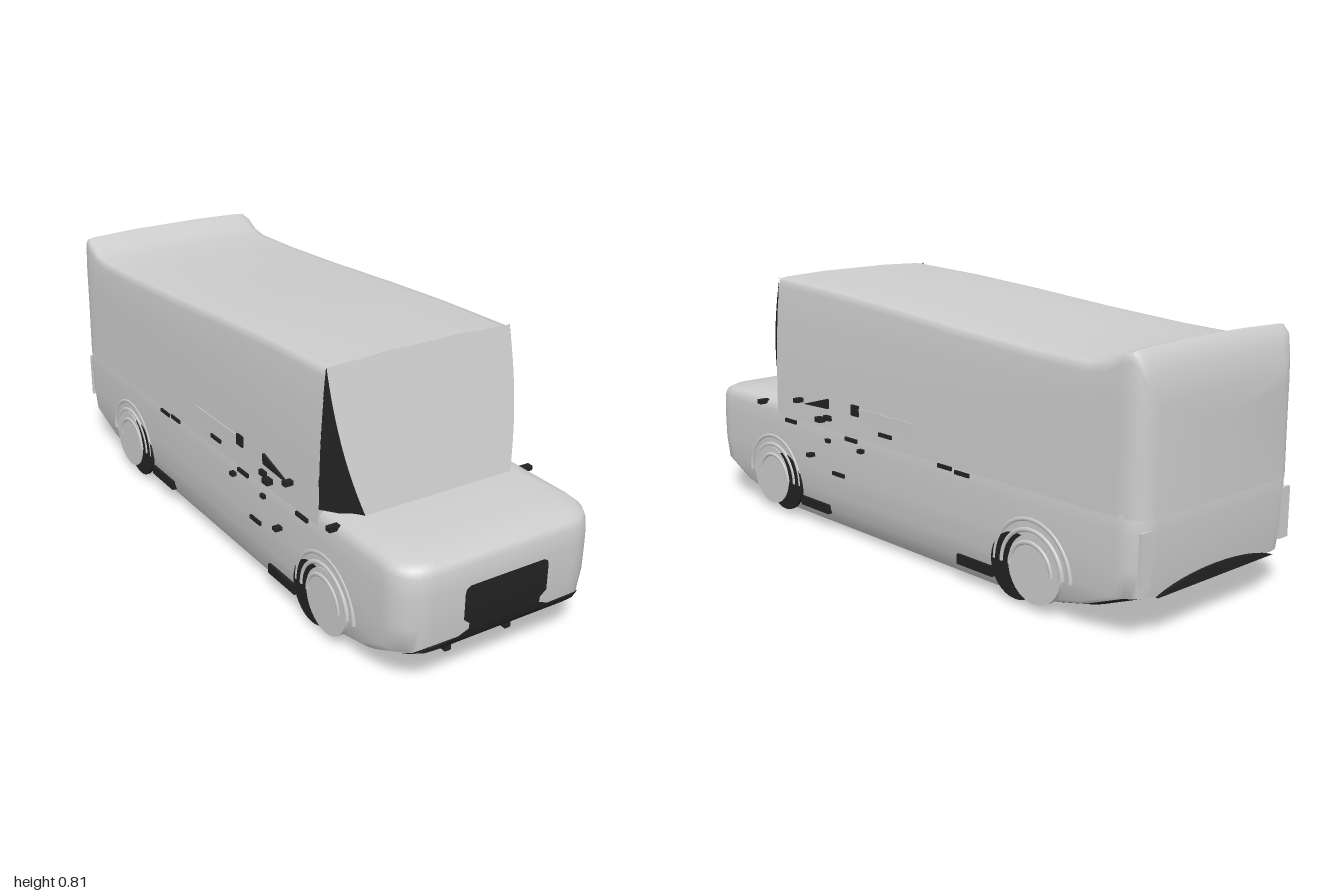
import * as THREE from 'three';
import { toCreasedNormals } from 'three/addons/utils/BufferGeometryUtils.js';

const lerp = THREE.MathUtils.lerp;

// Skins rows of points; faces chosen by isDark(centre, normal) go to the second material
function loft(rows, closed, caps, isDark = () => false) {
  const n = rows[0].length, pts = rows.flat(), light = [], dark = [];
  const face = (a, b, c) => {
    const tri = new THREE.Triangle(pts[a], pts[b], pts[c]);
    const mid = tri.getMidpoint(new THREE.Vector3());
    const nor = tri.getNormal(new THREE.Vector3());
    (isDark(mid, nor) ? dark : light).push(a, b, c);
  };
  const m = closed ? n : n - 1;
  for (let i = 0; i < rows.length - 1; i++) {
    for (let j = 0; j < m; j++) {
      const a = i * n + j, b = i * n + (j + 1) % n;
      face(a, a + n, b);
      face(b, a + n, b + n);
    }
  }
  if (caps) {
    [0, rows.length - 1].forEach((r, end) => {
      const mid = rows[r].reduce((s, p) => s.add(p), new THREE.Vector3()).divideScalar(n);
      const c = pts.push(mid) - 1;
      for (let j = 0; j < n; j++) {
        const a = r * n + j, b = r * n + (j + 1) % n;
        if (end) face(c, b, a); else face(c, a, b);
      }
    });
  }
  const g = new THREE.BufferGeometry().setFromPoints(pts);
  g.setIndex([...light, ...dark]);
  g.addGroup(0, light.length, 0);
  g.addGroup(light.length, dark.length, 1);
  return toCreasedNormals(g, 0.9);
}

// Rounded rectangle seen from above, with tighter corners at the tail
function planRing(y, w, zf, zb, rFront) {
  const out = [];
  [[1, 1], [-1, 1], [-1, -1], [1, -1]].forEach(([sx, sz], q) => {
    const r = sz > 0 ? rFront : 0.07;
    for (let k = 0; k <= 7; k++) {
      const a = (q + k / 7) * Math.PI / 2;
      out.push(new THREE.Vector3(sx * (w - r) + r * Math.cos(a),
        y, (sz > 0 ? zf - r : zb + r) + r * Math.sin(a)));
    }
  });
  return out;
}

// Cross-section of the cargo body
function bodySection(z, roof, scale) {
  const base = 0.34, h = roof - base, t = (0.59 - z) / 1.59, top = lerp(0.31, 0.324, t);
  const half = [[0.334, 0], [0.331, 0.4 * h], [lerp(0.323, 0.33, t), 0.72 * h], [top + 0.003, h - 0.035],
    [top, h - 0.017], [top - 0.007, h - 0.01], [top - 0.03, h - 0.006], [0.13, h]];
  const pts = half.map(([x, y]) => new THREE.Vector3(x * scale, base + y, z));
  const mirror = pts.map(p => new THREE.Vector3(-p.x, p.y, p.z)).reverse();
  return [...pts, ...mirror];
}

export function createModel() {
  const model = new THREE.Group();
  const paint = new THREE.MeshStandardMaterial({ color: 0xcccccc });
  paint.name = 'light grey paint';
  const black = new THREE.MeshStandardMaterial({ color: 0x222222, side: THREE.DoubleSide });
  black.name = 'black trim';
  const add = (name, geometry, material, x = 0, y = 0, z = 0) => {
    const mesh = new THREE.Mesh(geometry, material);
    mesh.name = name;
    mesh.position.set(x, y, z);
    model.add(mesh);
    return mesh;
  };
  const box = (name, mat, x, y, z, w, h, d) => add(name, new THREE.BoxGeometry(w, h, d), mat, x, y, z);

  // Lower body with bonnet; downward faces are the black underside, the sills stay painted
  const rings = [[0, 0.25, 0.55, -0.55, 0.05], [0.012, 0.29, 0.62, -0.61, 0.07], [0.038, 0.314, 0.75, -0.73, 0.08],
    [0.07, 0.324, 0.87, -0.85, 0.09], [0.125, 0.33, 0.982, -0.985, 0.1], [0.2, 0.334, 0.992, -0.994, 0.1],
    [0.3, 0.335, 0.993, -0.998, 0.1], [0.35, 0.333, 0.99, -0.998, 0.1], [0.37, 0.329, 0.982, -0.995, 0.1],
    [0.382, 0.318, 0.96, -0.985, 0.1], [0.392, 0.29, 0.85, -0.95, 0.1], [0.398, 0.27, 0.72, -0.9, 0.08]];
  add('lowerBody', loft(rings.map(r => planRing(...r)), true, true,
    (c, n) => c.y < 0.13 && n.y < -0.4 && Math.abs(n.x) < 0.5), [paint, black]);

  // Cargo body with sloping roof and raised tail lip
  const stations = [[0.59, 0.808, 1], [0.3, 0.797, 1], [0, 0.778, 1], [-0.3, 0.755, 1], [-0.6, 0.737, 1],
    [-0.8, 0.731, 1], [-0.87, 0.742, 1], [-0.92, 0.768, 1], [-0.95, 0.776, 0.99], [-0.97, 0.76, 0.963],
    [-0.985, 0.72, 0.92], [-0.995, 0.68, 0.87], [-1, 0.64, 0.81]];
  add('cargoBody', loft(stations.map(s => bodySection(...s)), false, true), [paint, black]);

  // Windscreen and the dark quarter windows at its sides
  const edge = t => new THREE.Vector3(0.25 + 0.06 * (1 - (1 - t) ** 2.2), 0.39 + 0.412 * t, 0.7 - 0.11 * t);
  const screen = [], quarter = [];
  for (let i = 0; i <= 12; i++) {
    const t = i / 12, p = edge(t);
    screen.push([1, 0.5, 0, -0.5, -1].map(s =>
      new THREE.Vector3(p.x * s, p.y + 0.006 * t * (1 - s * s), p.z)));
    quarter.push([new THREE.Vector3(lerp(0.333, 0.311, t * t), p.y, 0.589), p]);
  }
  add('windscreen', loft(screen, false, false), [paint, black]);
  const glass = loft(quarter, false, false, () => true);
  add('leftQuarterWindow', glass, [paint, black]);
  add('rightQuarterWindow', glass, [paint, black]).scale.x = -1;

  // Grille flaring into the lower bumper, wrapped around the nose: y, half width, z
  const grilleRows = [[0.115, 0.3, 0.966], [0.125, 0.292, 0.987], [0.138, 0.27, 0.99], [0.145, 0.155, 0.992],
    [0.16, 0.122, 0.995], [0.178, 0.122, 0.997], [0.195, 0.142, 0.998], [0.275, 0.142, 0.999],
    [0.288, 0.138, 0.999], [0.295, 0.126, 0.999]];
  const grille = grilleRows.map(([y, w, z]) => {
    const row = [];
    for (let k = 8; k >= -8; k--) {
      const x = w * k / 8, d = Math.max(0, Math.abs(x) - 0.23);
      row.push(new THREE.Vector3(x, y, z - 0.1 + Math.sqrt(0.01 - d * d)));
    }
    return row;
  });
  add('grille', loft(grille, false, false, () => true), [paint, black]);

  // Dark arched lip under the tail
  const lip = new THREE.Shape();
  lip.moveTo(-0.25, 0.122);
  lip.bezierCurveTo(-0.12, 0.168, 0.12, 0.168, 0.25, 0.122);
  add('tailLip', new THREE.ExtrudeGeometry(lip, { depth: 0.009, bevelEnabled: false }), black, 0, 0, -0.998);

  // Small dark side fittings: z, y, length, height, outer x
  const fittings = [[0.67, 0.373, 0.02, 0.015, 0.355], [0.51, 0.332, 0.06, 0.012, 0.341],
    [0.45, 0.415, 0.02, 0.014, 0.36], [0.16, 0.428, 0.035, 0.035, 0.338], [0.335, 0.37, 0.03, 0.016, 0.355],
    [0.3, 0.38, 0.03, 0.016, 0.345], [0.18, 0.33, 0.06, 0.012, 0.341], [0.125, 0.305, 0.02, 0.012, 0.35],
    [0.3, 0.305, 0.02, 0.012, 0.345], [0.25, 0.202, 0.06, 0.012, 0.341], [0.39, 0.242, 0.02, 0.012, 0.357],
    [0.01, 0.375, 0.06, 0.012, 0.339], [-0.265, 0.335, 0.06, 0.012, 0.339], [-0.34, 0.33, 0.06, 0.012, 0.339]];
  const wedge = new THREE.Shape();
  wedge.moveTo(-0.43, 0.405);
  wedge.lineTo(-0.3, 0.41);
  wedge.lineTo(-0.3, 0.443);
  const wedgeGeo = new THREE.ExtrudeGeometry(wedge, { depth: 0.02, bevelEnabled: false });

  for (const s of [1, -1]) {
    fittings.forEach(([z, y, l, h, x]) =>
      box('sideFitting', black, s * (x + 0.32) / 2, y, z, x - 0.32, h, l));
    add('mirrorWedge', wedgeGeo, black, s > 0 ? 0.32 : -0.34).rotation.y = Math.PI / 2;
    box('beltMoulding', paint, s * 0.329, 0.42, 0.01, 0.012, 0.035, 0.26);
    box('frontPeg', black, s * 0.106, 0.046, 0.885, 0.02, 0.038, 0.02);
    box('tailLamp', paint, s * 0.3, 0.235, -0.992, 0.04, 0.15, 0.01);

    // Wheels in their arches, mirrored front to back
    for (const e of [1, -1]) {
      const disc = (name, r, mat, x, y, z, w) => {
        add(name, new THREE.CylinderGeometry(r, r, w, 32), mat, s * x, y, e * z).rotation.z = Math.PI / 2;
      };
      disc('wheelWell', 0.097, black, 0.331, 0.113, 0.56, 0.01);
      disc('wheel', 0.1, paint, 0.322, 0.122, 0.635, 0.032);
      for (const [r, x] of [[0.145, 0.33], [0.115, 0.332], [0.08, 0.335]]) {
        const arch = add('wheelArch', new THREE.TorusGeometry(r, 0.008, 8, 32, Math.PI), paint, s * x, 0.115, e * 0.62);
        arch.rotation.y = Math.PI / 2;
      }
      box('sillStep', black, s * 0.32, 0.068, e * 0.39, 0.03, 0.03, 0.15);
    }
  }
  return model;
}
